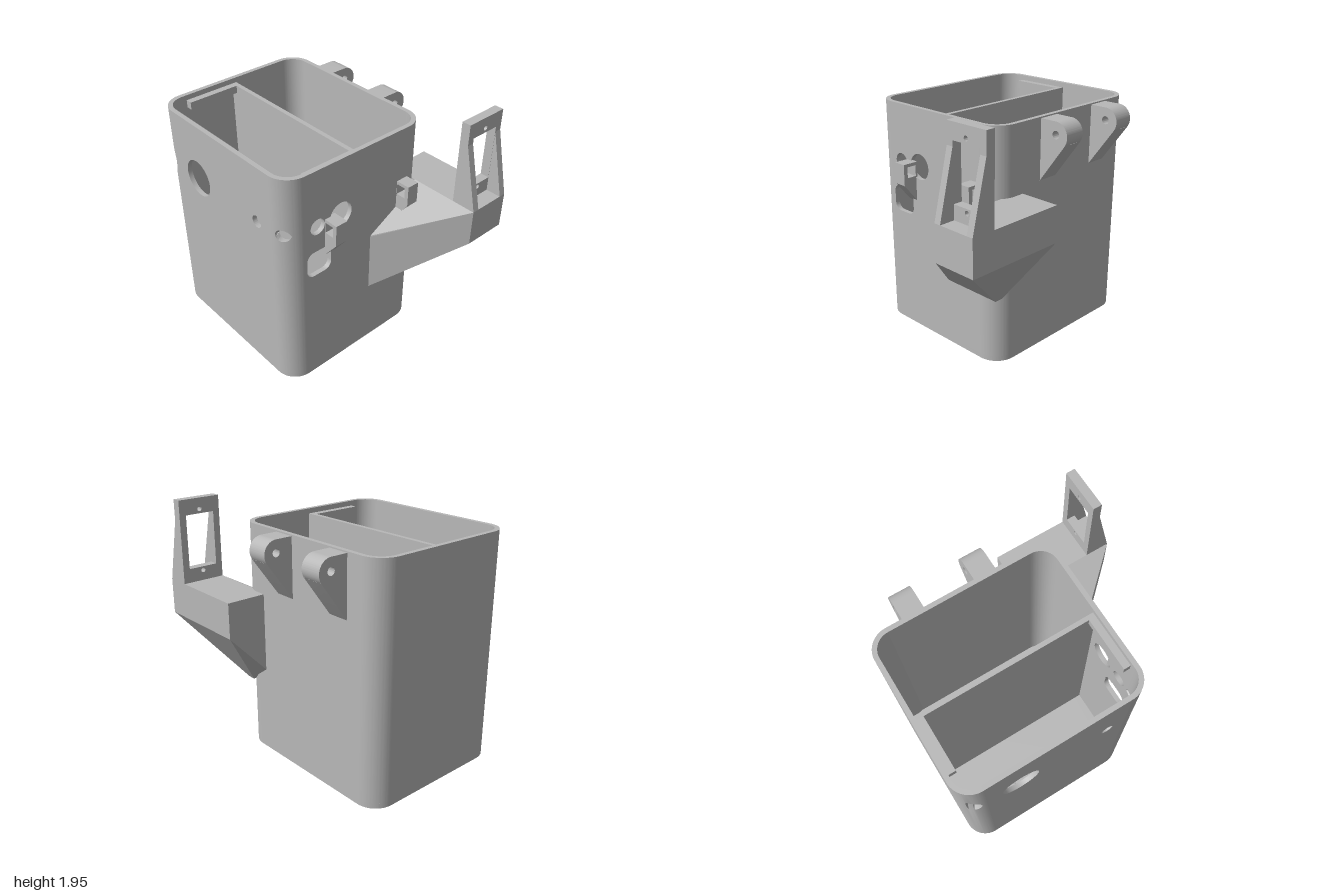
import * as THREE from 'three';
import { toCreasedNormals } from 'three/addons/utils/BufferGeometryUtils.js';
import { ConvexGeometry } from 'three/addons/geometries/ConvexGeometry.js';

const H = 1.82, T = 0.036, R = 0.17, HOLE_Y = 1.37;
const X0 = -1, X1 = 0.465, Z0 = -0.49, Z1 = 0.8;

export function createModel() {
  const model = new THREE.Group();
  const grey = new THREE.MeshStandardMaterial({ color: 0xb8b8b8 });

  function add(name, geo, x = 0, y = 0, z = 0) {
    const mesh = new THREE.Mesh(geo, grey);
    mesh.name = name;
    mesh.position.set(x, y, z);
    model.add(mesh);
    return mesh;
  }
  // box given by its minimum and maximum corners
  function block(name, a, b) {
    add(name, new THREE.BoxGeometry(b[0] - a[0], b[1] - a[1], b[2] - a[2]),
      (a[0] + b[0]) / 2, (a[1] + b[1]) / 2, (a[2] + b[2]) / 2);
  }
  const poly = (pts) => new THREE.Shape(pts.map((p) => new THREE.Vector2(p[0], p[1])));
  const rect = (a, b, c, d) => poly([[a, b], [c, b], [c, d], [a, d]]);
  const circle = (x, y, r) => new THREE.Path().absarc(x, y, r, 0, Math.PI * 2, true);
  const extrude = (shape, depth) => toCreasedNormals(
    new THREE.ExtrudeGeometry(shape, { depth, bevelEnabled: false, curveSegments: 24 }), 0.6);
  // shape drawn in (-z, y) and extruded along +x
  const extrudeX = (shape, depth) => extrude(shape, depth).rotateY(Math.PI / 2);
  function roundRect(path, a, b, c, d, r) {
    path.absarc(c - r, b + r, r, -Math.PI / 2, 0, false);
    path.absarc(c - r, d - r, r, 0, Math.PI / 2, false);
    path.absarc(a + r, d - r, r, Math.PI / 2, Math.PI, false);
    path.absarc(a + r, b + r, r, Math.PI, Math.PI * 1.5, false);
    path.closePath();
    return path;
  }

  // flat walls with their openings
  const front = rect(X0 + R, 0, X1 - R, H);
  front.holes.push(circle(-0.56, HOLE_Y, 0.145), circle(0.145, HOLE_Y, 0.047));
  add('frontWall', extrude(front, T), 0, 0, Z1 - T);

  const side = rect(R - Z1, 0, -Z0 - R, H);
  side.holes.push(circle(-0.53, HOLE_Y, 0.063), circle(-0.32, HOLE_Y, 0.1),
    roundRect(new THREE.Path(), -0.628, 0.955, -0.41, 1.165, 0.06));
  add('leftWall', extrudeX(side, T), X1 - T);
  block('backWall', [X0 + R, 0, Z0], [X1 - R, H, Z0 + T]);
  block('rightWall', [X0, 0, Z0 + R], [X0 + T, H, Z1 - R]);

  // rounded corner wall; halfHeight(x, z) gives half the opening's height there
  function corner(name, cx, cz, start, halfHeight) {
    const pos = [], n = 32;
    const quad = (a, b, c, d) => pos.push(...a, ...b, ...c, ...a, ...c, ...d);
    const column = (i) => {
      const t = start + (i / n) * Math.PI / 2;
      const line = (r) => {
        const x = cx + r * Math.cos(t), z = cz + r * Math.sin(t), h = halfHeight(x, z);
        return [0, HOLE_Y - h, HOLE_Y + h, H].map((y) => [x, y, z]);
      };
      return { o: line(R), i: line(R - T) };
    };
    for (let k = 0; k < n; k++) {
      const a = column(k), b = column(k + 1);
      for (const s of [0, 2]) {
        quad(a.o[s], a.o[s + 1], b.o[s + 1], b.o[s]);
        quad(a.i[s], b.i[s], b.i[s + 1], a.i[s + 1]);
      }
      for (const s of [1, 3]) quad(a.o[s], a.i[s], b.i[s], b.o[s]);
      for (const s of [0, 2]) quad(a.o[s], b.o[s], b.i[s], a.i[s]);
    }
    const geo = new THREE.BufferGeometry();
    geo.setAttribute('position', new THREE.Float32BufferAttribute(pos, 3));
    add(name, toCreasedNormals(geo, 0.6));
  }
  const chord = (x, c, r) => Math.sqrt(Math.max(0, r * r - (x - c) ** 2));
  const q = Math.PI / 2;
  corner('frontLeftCorner', X1 - R, Z1 - R, 0, (x) => chord(x, 0.385, 0.047));
  corner('frontRightCorner', X0 + R, Z1 - R, q, (x, z) => (z > 0.74 ? chord(x, -1.01, 0.145) : 0));
  corner('backRightCorner', X0 + R, Z0 + R, 2 * q, () => 0);
  corner('backLeftCorner', X1 - R, Z0 + R, 3 * q, () => 0);

  // floor, divider, and rails inside the box
  const floor = roundRect(new THREE.Shape(), X0, -Z1, X1, -Z0, R);
  add('floor', extrude(floor, 0.04).rotateX(-Math.PI / 2));
  block('divider', [X0 + T, 0.04, 0.135], [X1 - T, 1.78, 0.17]);
  block('rightRail', [X0 + T, 1.72, 0.17], [-0.91, 1.78, 0.59]);
  block('leftRail', [0.375, 1.72, 0.17], [X1 - T, 1.78, 0.59]);
  block('innerStop', [-0.575, 1.04, 0.69], [-0.405, 1.16, Z1 - T]);

  // hinge lugs on the back
  const lug = new THREE.Shape();
  lug.moveTo(0.48, 1.34);
  lug.lineTo(0.707, 1.651);
  lug.absarc(0.625, 1.71, 0.1, -0.63, Math.PI / 2, false);
  lug.lineTo(0.48, 1.81);
  lug.holes.push(circle(0.625, 1.715, 0.03));
  for (const x of [-0.705, -0.14]) add('hingeLug', extrudeX(lug, 0.17), x);

  // cable hooks on the side
  const hook = poly([[0.45, 1.08], [0.465, 1.095], [0.578, 1.235], [0.578, 1.4], [0.45, 1.4]]);
  hook.holes.push(rect(0.468, 1.29, 0.545, 1.375));
  for (const z of [-0.33, 0.365]) add('cableHook', extrude(hook, 0.1), 0, 0, z);

  // arm wrapping the back corner, in two convex pieces
  const hull = (name, pts) =>
    add(name, new ConvexGeometry(pts.map((p) => new THREE.Vector3(...p))));
  const ZB = -0.805, ZF = -0.457, XW = 0.435;
  hull('armBack', [
    [0.21, 1.3, ZB], [1, 1.3, ZB], [0.21, 1.02, ZB], [1, 1.02, ZB],
    [0.21, 1.3, ZF], [1, 1.3, ZF], [1, 1.02, ZF],
    [0.21, 0.67, -0.475], [0.4, 0.535, -0.475], [0.465, 0.535, -0.475]]);
  hull('armFront', [
    [XW, 0.535, 0.05], [XW, 1.015, 0.05], [X1, 0.535, 0.025], [X1, 1.02, 0.025],
    [XW, 0.535, -0.475], [X1, 0.535, -0.475], [XW, 1.3, ZF], [1, 1.3, ZF], [1, 1.02, ZF]]);

  // upright motor frame with two gussets
  const frame = rect(-ZF, 1.29, -ZB, 1.95);
  frame.holes.push(rect(0.51, 1.41, 0.75, 1.83), circle(0.63, 1.865, 0.018), circle(0.63, 1.38, 0.018));
  add('motorFrame', extrudeX(frame, 0.07), 0.81);
  const gusset = poly([[0.88, 1.3], [1, 1.3], [0.88, 1.79]]);
  for (const z of [ZB, -0.51]) add('frameGusset', extrude(gusset, 0.053), 0, 0, z);

  return model;
}
